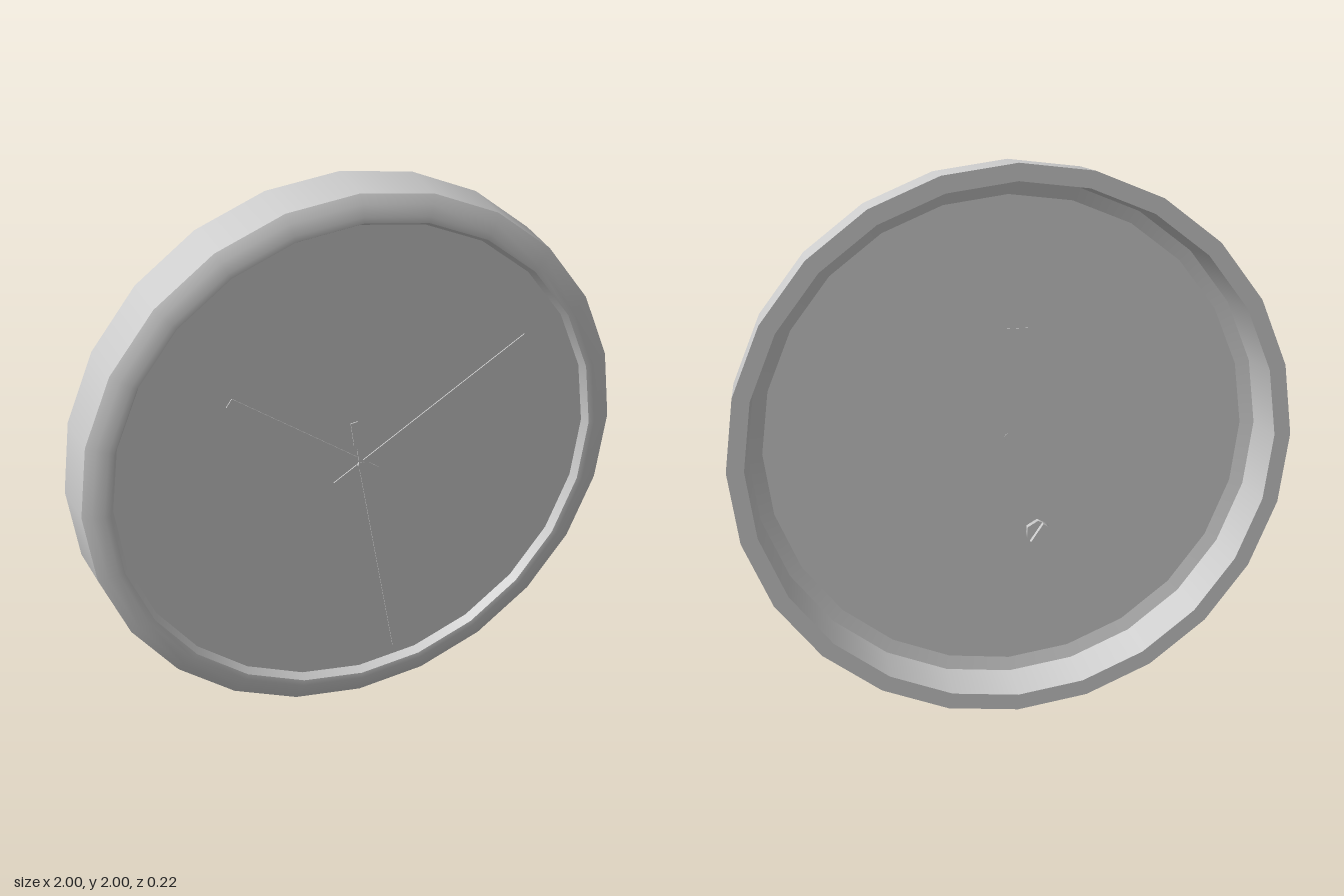
import * as THREE from 'three';

const SIDES = 24;

export function createModel() {
  const model = new THREE.Group();
  const clock = new THREE.Group();
  clock.name = 'wallClock';
  clock.position.y = 1; // pivot sits at the centre of the dial
  model.add(clock);

  const grey = new THREE.MeshStandardMaterial({ color: 0xcccccc });
  grey.name = 'light grey';

  function add(name, geometry, parent = clock) {
    const mesh = new THREE.Mesh(geometry, grey);
    mesh.name = name;
    parent.add(mesh);
    return mesh;
  }

  // Ring from a [radius, z] profile, turned round the z axis
  function ring(name, profile) {
    const points = profile.map(([r, z]) => new THREE.Vector2(r, z));
    add(name, new THREE.LatheGeometry(points, SIDES).rotateX(Math.PI / 2));
  }

  // Disc facing z
  function disc(name, radius, depth, z, sides, parent) {
    const geometry = new THREE.CylinderGeometry(radius, radius, depth, sides).rotateX(Math.PI / 2);
    return add(name, geometry.translate(0, 0, z), parent);
  }

  // Rim: separate strips keep the edges between them sharp
  ring('rimOuterWall', [[1, -0.108], [0.986, 0.08]]);
  ring('rimFront', [[0.986, 0.08], [0.955, 0.098], [0.915, 0.108], [0.893, 0.106]]);
  ring('rimInnerLip', [[0.893, 0.106], [0.876, 0.07]]);
  ring('rimRearLedge', [[0.87, 0.062], [0.92, 0.05]]);
  ring('rimInnerWall', [[0.92, 0.05], [0.94, -0.108]]);
  ring('rimBack', [[0.94, -0.108], [1, -0.108]]);

  // Dial plate
  disc('dial', 0.885, 0.01, 0.07, SIDES);

  // Hands: thin plates outlined along +y, turned towards their tip
  function hand(name, outline, z, tipX, tipY) {
    const shape = new THREE.Shape(outline.map(([x, y]) => new THREE.Vector2(x, y)));
    const geometry = new THREE.ExtrudeGeometry(shape, { depth: 0.004, bevelEnabled: false });
    geometry.rotateZ(Math.atan2(-tipX, tipY));
    add(name, geometry).position.z = z;
  }
  const bar = (half, from, to) => [[-half, from], [half, from], [half, to], [-half, to]];

  hand('hourHand', bar(0.018, -0.075, 0.57), 0.081, -0.465, 0.325);
  hand('minuteHand', bar(0.01, -0.115, 0.73), 0.086, 0.615, 0.385);
  hand('secondHand', [[-0.004, -0.08], [0.004, -0.08], [0.01, 0], [0.001, 0.82], [-0.001, 0.82], [-0.01, 0]],
    0.091, 0.13, -0.81);
  hand('secondHandWeight',
    [[-0.009, -0.07], [0.009, -0.07], [0.015, -0.085], [0.013, -0.175], [-0.013, -0.175], [-0.015, -0.085]],
    0.091, 0.13, -0.81);
  disc('handSpindle', 0.014, 0.032, 0.08, 8);

  // Rear hanging plate
  const plate = add('rearPlate', new THREE.BoxGeometry(0.1, 0.155, 0.002));
  plate.position.set(0, 0.355, -0.06);

  // Setting knob with a grip ridge
  const knob = new THREE.Group();
  knob.name = 'settingKnob';
  knob.position.set(-0.08, -0.32, -0.06);
  clock.add(knob);
  disc('knobBody', 0.045, 0.02, 0, 6, knob);
  const ridge = add('knobRidge', new THREE.BoxGeometry(0.018, 0.08, 0.02), knob);
  ridge.position.z = -0.018;
  ridge.rotation.z = 0.6;

  return model;
}
